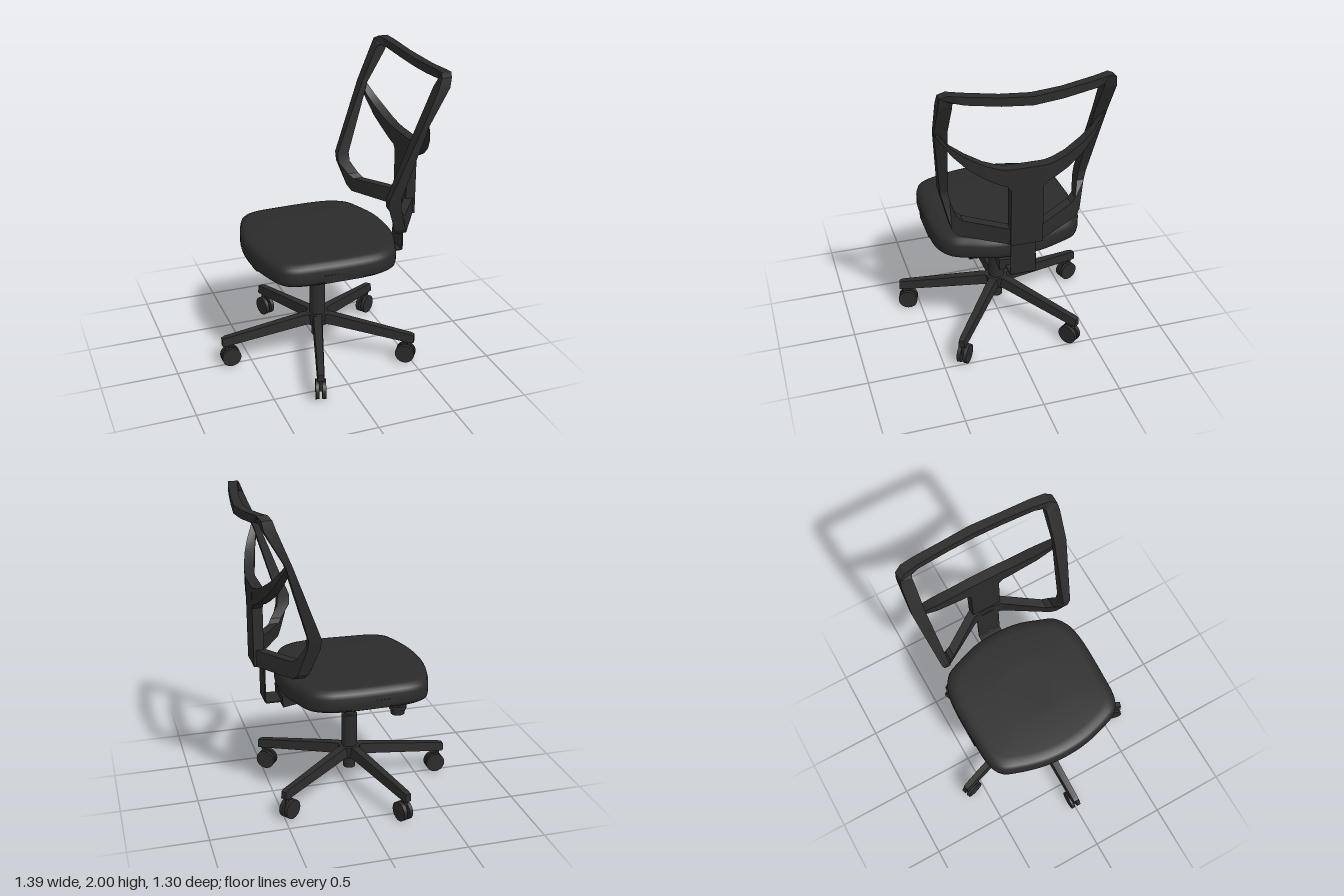
import * as THREE from 'three';
import { toCreasedNormals } from 'three/addons/utils/BufferGeometryUtils.js';

const black = new THREE.MeshStandardMaterial({ color: 0x2b2b2b });
black.name = 'charcoal black';

const AXIS_X = -0.03; // centre of column and base

function mesh(name, geo, x = 0, y = 0, z = 0) {
  const m = new THREE.Mesh(geo, black);
  m.name = name;
  m.position.set(x, y, z);
  return m;
}

const box = (name, w, h, d, x, y, z) => mesh(name, new THREE.BoxGeometry(w, h, d), x, y, z);

function cylinder(name, rTop, rBottom, y0, y1, x, z, sides = 24) {
  return mesh(name, new THREE.CylinderGeometry(rTop, rBottom, y1 - y0, sides), x, (y0 + y1) / 2, z);
}

// Skin through rings of points, each counter-clockwise about the direction of travel
function loft(rings, { loop = false, crease = 0.3 } = {}) {
  const n = rings[0].length;
  const idx = [];
  const last = loop ? rings.length : rings.length - 1;
  for (let i = 0; i < last; i++) {
    for (let j = 0; j < n; j++) {
      const a = i * n + j, b = i * n + (j + 1) % n;
      const k = ((i + 1) % rings.length) * n;
      const c = k + (j + 1) % n, d = k + j;
      idx.push(a, b, c, a, c, d);
    }
  }
  if (!loop) {
    const t = (rings.length - 1) * n;
    for (let j = 1; j < n - 1; j++) idx.push(0, j + 1, j, t, t + j, t + j + 1);
  }
  const g = new THREE.BufferGeometry();
  g.setAttribute('position', new THREE.Float32BufferAttribute(rings.flat(2), 3));
  g.setIndex(idx);
  return toCreasedNormals(g, crease);
}

// Side profile in x-y, extruded across z
function slab(name, points, width) {
  const shape = new THREE.Shape(points.map(([x, y]) => new THREE.Vector2(x, y)));
  const g = new THREE.ExtrudeGeometry(shape, { depth: width, bevelEnabled: false });
  g.translate(0, 0, -width / 2);
  return mesh(name, g);
}

function createSeat() {
  const seat = new THREE.Group();
  seat.name = 'seat';
  const half = [[-0.507, 0.12], [-0.455, 0.33], [-0.41, 0.425], [-0.33, 0.468], [-0.15, 0.483],
    [0.15, 0.485], [0.26, 0.462], [0.345, 0.405], [0.39, 0.31], [0.445, 0.13]];
  const outline = [...half, ...half.map(([x, z]) => [x, -z]).reverse()];
  const curve = new THREE.CatmullRomCurve3(
    outline.map(([x, z]) => new THREE.Vector3(x, 0, z)), true, 'centripetal');
  const pts = curve.getPoints(96).slice(0, -1);
  const ring = ([y, s]) => pts.map((p) => [AXIS_X + (p.x - AXIS_X) * s, y, p.z * s]);
  // height and scale of each level of the padding
  const levels = [[0.72, 0.3], [0.728, 0.85], [0.735, 0.95], [0.75, 0.99], [0.77, 1], [0.83, 1],
    [0.855, 0.985], [0.87, 0.955], [0.879, 0.91], [0.882, 0.84], [0.884, 0.4]];
  seat.add(mesh('cushion', loft(levels.map(ring), { crease: 0.9 })));

  // under-seat pan, dropping towards the back
  seat.add(slab('seatPan', [[-0.5, 0.74], [-0.48, 0.715], [-0.4, 0.7], [0.18, 0.69], [0.3, 0.677],
    [0.44, 0.655], [0.444, 0.73], [0.3, 0.76]], 0.24));
  for (const s of [1, -1]) {
    seat.add(box('sidePanel', 0.25, 0.055, 0.02, -0.03, 0.775, s * 0.477));
  }
  // adjuster knob
  seat.add(cylinder('knobNeck', 0.035, 0.035, 0.68, 0.74, -0.245, -0.36));
  seat.add(cylinder('knobCollar', 0.055, 0.055, 0.675, 0.7, -0.245, -0.36, 16));
  seat.add(cylinder('knob', 0.048, 0.044, 0.64, 0.677, -0.245, -0.36, 16));
  return seat;
}

function createBackrest() {
  const back = new THREE.Group();
  back.name = 'backrest';
  // frame, bottom centre to top centre: front x, back x, outer y, inner y, outer z, inner z
  const half = [
    [0.55, 0.61, 0.946, 1.055, 0, 0],
    [0.533, 0.6, 0.946, 1.055, 0.1, 0.1],
    [0.36, 0.43, 0.953, 1.055, 0.375, 0.345],
    [0.335, 0.408, 0.99, 1.08, 0.41, 0.38],
    [0.273, 0.355, 1.165, 1.165, 0.45, 0.405],
    [0.27, 0.35, 1.225, 1.225, 0.463, 0.413],
    [0.45, 0.49, 1.7, 1.7, 0.52, 0.44],
    [0.54, 0.612, 1.92, 1.91, 0.52, 0.44],
    [0.56, 0.623, 1.978, 1.942, 0.512, 0.44],
    [0.577, 0.64, 2, 1.95, 0.47, 0.43],
    [0.597, 0.655, 1.99, 1.94, 0.38, 0.38],
    [0.622, 0.675, 1.967, 1.914, 0.18, 0.18],
    [0.632, 0.69, 1.957, 1.904, 0, 0],
  ];
  const section = ([f, b, yo, yi, zo, zi]) => [[f, yo, zo], [b, yo, zo], [b, yi, zi], [f, yi, zi]];
  const mirrored = half.slice(1, -1).reverse().map(([f, b, yo, yi, zo, zi]) => [f, b, yo, yi, -zo, -zi]);
  back.add(mesh('backFrame', loft([...half, ...mirrored].map(section), { loop: true })));

  // curved yoke: z, front x, back x, bottom y, top y
  const yokeHalf = [[0.1, 0.55, 0.614, 1.33, 1.47], [0.125, 0.55, 0.614, 1.36, 1.472],
    [0.17, 0.543, 0.608, 1.378, 1.48], [0.25, 0.53, 0.595, 1.42, 1.507], [0.35, 0.505, 0.57, 1.49, 1.56],
    [0.43, 0.485, 0.54, 1.57, 1.615], [0.51, 0.455, 0.49, 1.68, 1.71]];
  const yoke = [...yokeHalf.map(([z, ...r]) => [-z, ...r]).reverse(), ...yokeHalf];
  back.add(mesh('yoke', loft(yoke.map(([z, f, b, lo, hi]) =>
    [[f, lo, z], [b, lo, z], [b, hi, z], [f, hi, z]]))));

  back.add(box('backUpright', 0.065, 0.525, 0.2, 0.583, 1.2075, 0));
  // thin bent steel strip joining back and seat
  back.add(slab('backStrip', [[0.4, 0.677], [0.54, 0.677], [0.549, 0.686], [0.549, 1.0],
    [0.541, 1.0], [0.541, 0.69], [0.536, 0.685], [0.4, 0.685]], 0.16));
  return back;
}

function createLeg(index) {
  const leg = new THREE.Group();
  leg.name = 'baseLeg';
  // tapered arm pointing along -x: x, half width, bottom, top
  const arm = [[-0.665, 0.022, 0.15, 0.202], [-0.64, 0.024, 0.15, 0.21], [-0.1, 0.034, 0.21, 0.28],
    [0, 0.036, 0.21, 0.28]];
  leg.add(mesh('arm', loft(arm.map(([x, w, lo, hi]) =>
    [[x, lo, w], [x, lo, -w], [x, hi, -w * 0.8], [x, hi, w * 0.8]]))));
  // twin-wheel caster
  leg.add(cylinder('casterStem', 0.012, 0.012, 0.08, 0.17, -0.635, 0, 12));
  leg.add(box('casterBody', 0.06, 0.045, 0.024, -0.61, 0.085, 0));
  for (const s of [1, -1]) {
    const wheel = mesh('casterWheel', new THREE.CylinderGeometry(0.064, 0.064, 0.024, 24), -0.61, 0.064, s * 0.021);
    wheel.rotation.x = Math.PI / 2;
    leg.add(wheel);
  }
  leg.position.x = AXIS_X;
  leg.rotation.y = (index * Math.PI * 2) / 5;
  return leg;
}

export function createModel() {
  const chair = new THREE.Group();
  chair.name = 'officeChair';
  chair.add(createSeat(), createBackrest());

  // gas column and five-legged base
  const base = new THREE.Group();
  base.name = 'base';
  base.add(cylinder('columnRod', 0.031, 0.031, 0.48, 0.72, AXIS_X, 0));
  base.add(cylinder('columnSleeve', 0.052, 0.052, 0.22, 0.505, AXIS_X, 0));
  base.add(cylinder('columnFoot', 0.04, 0.04, 0.118, 0.24, AXIS_X, 0));
  base.add(cylinder('hub', 0.075, 0.07, 0.2, 0.281, AXIS_X, 0, 10));
  for (let i = 0; i < 5; i++) base.add(createLeg(i));
  chair.add(base);
  return chair;
}
